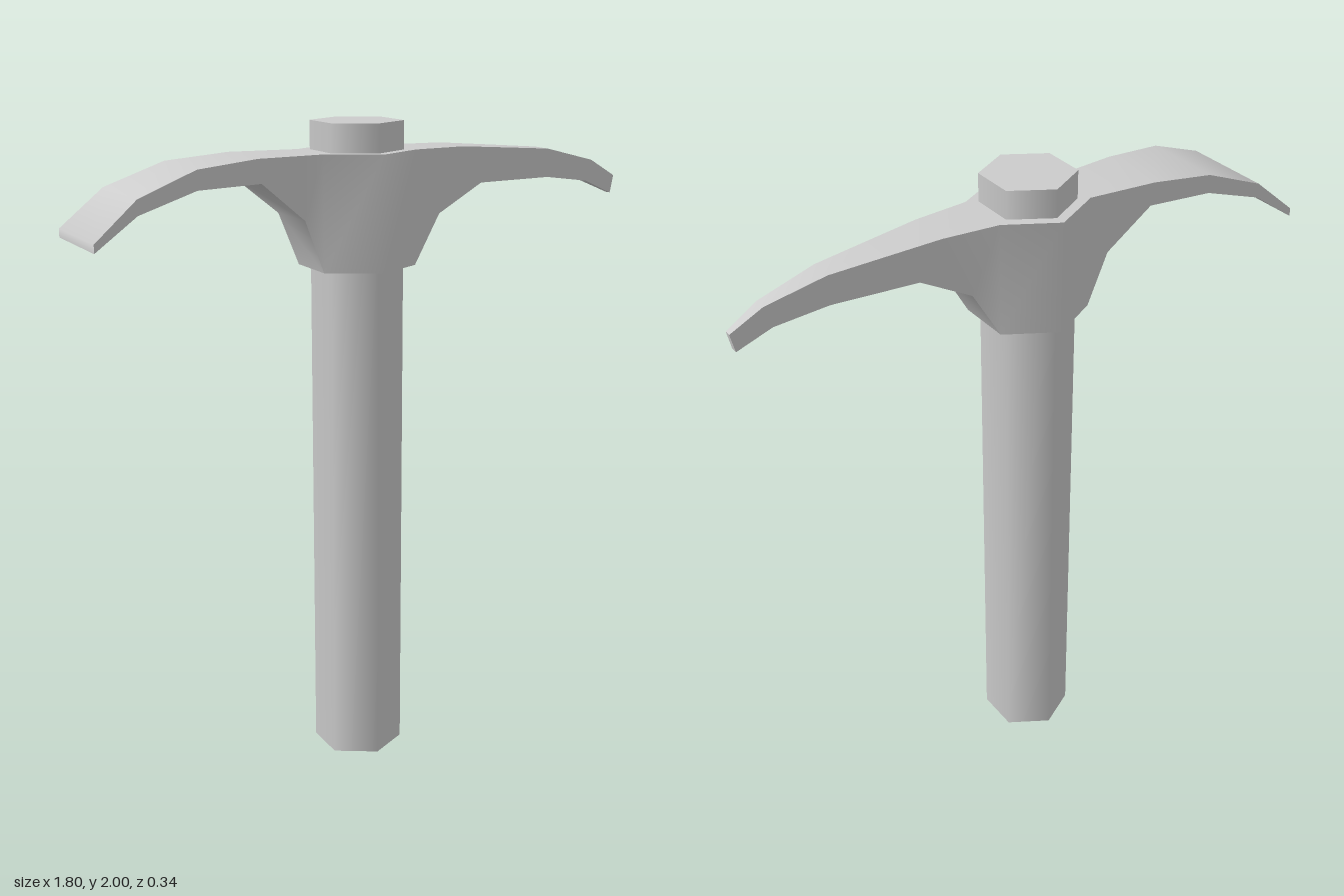
import * as THREE from 'three';
import { toCreasedNormals } from 'three/addons/utils/BufferGeometryUtils.js';

const AXIS_X = -0.035; // centre line of the handle

// Sections along the head: [topX, topY, bottomX, bottomY]
const SECTIONS = [
  [-0.9, 1.72, -0.9, 1.695],
  [-0.77, 1.83, -0.77, 1.785],
  [-0.59, 1.897, -0.59, 1.84],
  [-0.4, 1.915, -0.39, 1.845],
  [-0.25, 1.915, -0.25, 1.73],
  [-0.188, 1.915, -0.188, 1.572],
  [AXIS_X, 1.915, AXIS_X, 1.572],
  [0.117, 1.915, 0.117, 1.572],
  [0.29, 1.915, 0.204, 1.72],
  [0.45, 1.903, 0.36, 1.802],
  [0.62, 1.89, 0.62, 1.802],
  [0.8, 1.845, 0.78, 1.78],
  [0.897, 1.79, 0.885, 1.735],
];

// Half thickness in z: flared adze, hexagonal socket, tapered pick
const WIDTHS = [[-0.9, 0.159], [-0.188, 0.087], [AXIS_X, 0.172], [0.117, 0.087], [0.897, 0.01]];
function halfWidth(x) {
  let i = 0;
  while (i < WIDTHS.length - 2 && x > WIDTHS[i + 1][0]) i++;
  const [x0, w0] = WIDTHS[i], [x1, w1] = WIDTHS[i + 1];
  return w0 + (w1 - w0) * (x - x0) / (x1 - x0);
}

function headGeometry() {
  const rings = SECTIONS.map(([tx, ty, bx, by]) => {
    const t = halfWidth(tx), b = halfWidth(bx);
    return [[tx, ty, t], [tx, ty, -t], [bx, by, -b], [bx, by, b]];
  });
  const positions = [];
  const quad = (a, b, c, d) => positions.push(...a, ...b, ...c, ...a, ...c, ...d);
  for (let i = 0; i < rings.length - 1; i++) {
    const A = rings[i], B = rings[i + 1];
    for (let k = 0; k < 4; k++) {
      const n = (k + 1) % 4;
      quad(A[k], B[k], B[n], A[n]);
    }
  }
  // End caps
  quad(...rings[0]);
  quad(...[...rings[rings.length - 1]].reverse());
  const geometry = new THREE.BufferGeometry();
  geometry.setAttribute('position', new THREE.Float32BufferAttribute(positions, 3));
  return toCreasedNormals(geometry, THREE.MathUtils.degToRad(59.5));
}

export function createModel() {
  const group = new THREE.Group();
  group.name = 'pickaxe';
  const material = new THREE.MeshStandardMaterial({ color: 0xcccccc });

  // Six-sided shaft passing through the head
  const handle = new THREE.Mesh(new THREE.CylinderGeometry(0.139, 0.139, 2, 6), material);
  handle.name = 'handle';
  handle.position.set(AXIS_X, 1, 0);
  group.add(handle);

  // Adze, socket and pick as one continuous piece
  const head = new THREE.Mesh(headGeometry(), material);
  head.name = 'pickHead';
  group.add(head);

  return group;
}
